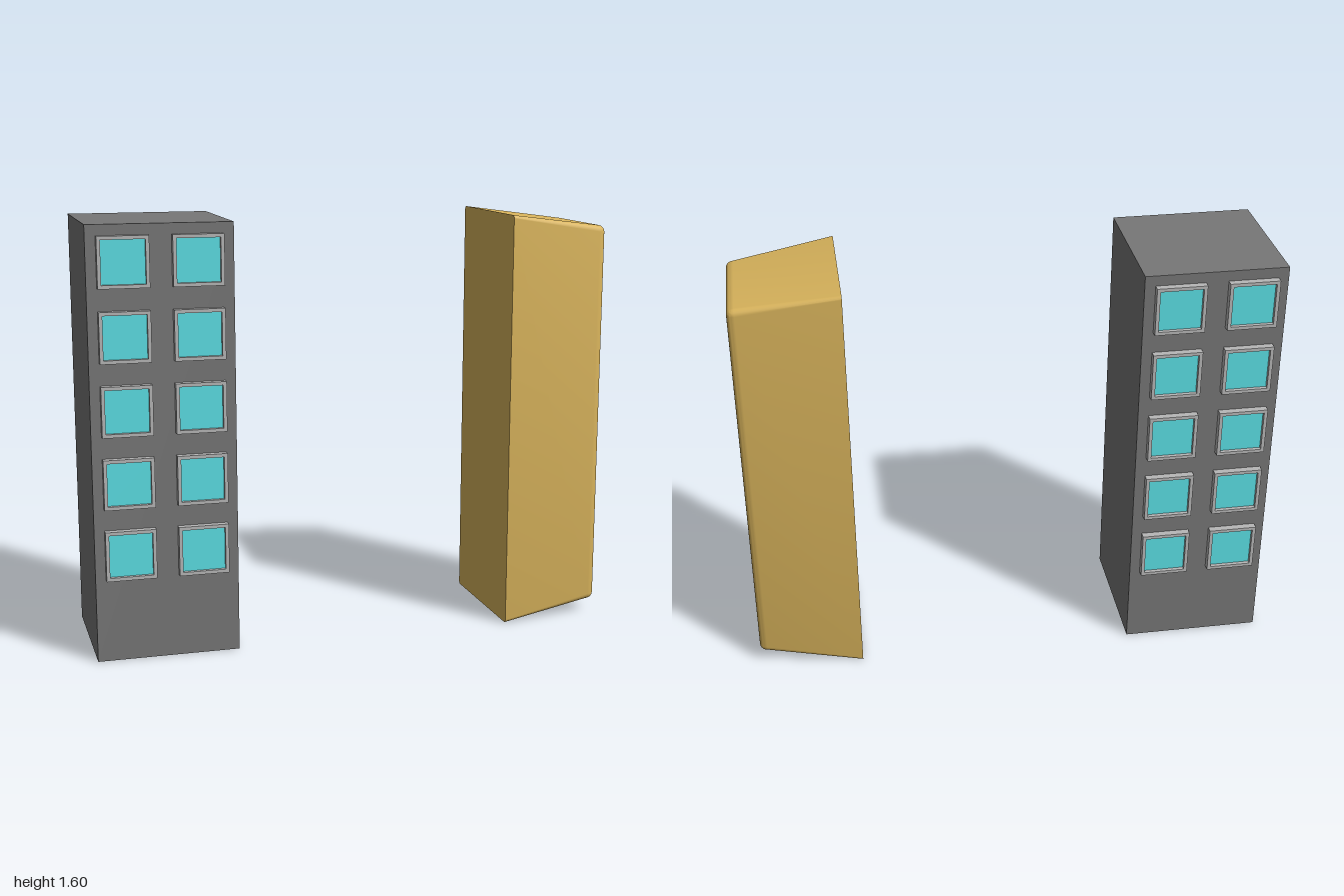
import * as THREE from 'three';
import { toCreasedNormals } from 'three/addons/utils/BufferGeometryUtils.js';

const mat = (color) => new THREE.MeshStandardMaterial({ color });

// Rounded-rectangle outline, counter-clockwise seen from +x, as [y, z] pairs.
function outline(halfY, halfZ, r, steps = 5) {
  const pts = [];
  for (let q = 0; q < 4; q++) {
    const sz = q === 0 || q === 3 ? -1 : 1;
    const sy = q < 2 ? 1 : -1;
    for (let i = 0; i <= steps; i++) {
      const a = (q + i / steps) * Math.PI / 2;
      pts.push([sy * (halfY - r) + r * Math.sin(a), sz * (halfZ - r) - r * Math.cos(a)]);
    }
  }
  return pts;
}

// Tapered block: sharp at its wide base, softened round its narrow end.
function taperedBlock() {
  const stations = [[0.6, 0.8, 0.266, 0.012], [0.972, 0.751, 0.219, 0.024]];
  const bend = 0.024;
  for (let i = 1; i <= 5; i++) {
    const a = (i / 5) * Math.PI / 2;
    const inset = bend * (1 - Math.cos(a));
    stations.push([0.972 + 0.028 * Math.sin(a), 0.751 - inset, 0.219 - inset, 0.024 - inset * 0.75]);
  }
  const rings = stations.map(([x, hy, hz, r]) =>
    outline(hy, hz, r).map(([y, z]) => [x, y + 0.8, z]));
  const pos = [];
  const tri = (a, b, c) => pos.push(...a, ...b, ...c);
  const n = rings[0].length;
  const last = rings[rings.length - 1];
  for (let j = 0; j < n; j++) {
    const k = (j + 1) % n;
    for (let i = 0; i < rings.length - 1; i++) {
      const a = rings[i], b = rings[i + 1];
      tri(a[j], a[k], b[k]);
      tri(a[j], b[k], b[j]);
    }
    tri([1, 0.8, 0], last[j], last[k]);
    tri([0.6, 0.8, 0], rings[0][k], rings[0][j]);
  }
  const geo = new THREE.BufferGeometry();
  geo.setAttribute('position', new THREE.Float32BufferAttribute(pos, 3));
  return toCreasedNormals(geo, 0.6);
}

// Square window frame with an open middle.
function frameGeometry(size, border, depth) {
  const h = size / 2, k = h - border;
  const shape = new THREE.Shape([[-h, -h], [h, -h], [h, h], [-h, h]].map(p => new THREE.Vector2(...p)));
  shape.holes.push(new THREE.Path([[-k, -k], [-k, k], [k, k], [k, -k]].map(p => new THREE.Vector2(...p))));
  return new THREE.ExtrudeGeometry(shape, { depth, bevelEnabled: false });
}

export function createModel() {
  const model = new THREE.Group();

  // Plain tower body
  const tower = new THREE.Mesh(new THREE.BoxGeometry(0.53, 1.6, 0.532), mat(0x777777));
  tower.name = 'towerBody';
  tower.position.set(-0.735, 0.8, 0);
  model.add(tower);

  // Two columns of five windows on the front and the back
  const frameGeo = frameGeometry(0.185, 0.013, 0.027);
  const glassGeo = new THREE.BoxGeometry(0.16, 0.16, 0.012);
  const frameMat = mat(0xb8b8b8);
  const glassMat = mat(0x5ce0e6);
  for (const side of [1, -1]) {
    const wall = new THREE.Group();
    wall.name = side > 0 ? 'frontWindows' : 'backWindows';
    for (const x of [-0.87, -0.602]) {
      for (let row = 0; row < 5; row++) {
        const win = new THREE.Group();
        win.name = 'window';
        const frame = new THREE.Mesh(frameGeo, frameMat);
        frame.name = 'windowFrame';
        const glass = new THREE.Mesh(glassGeo, glassMat);
        glass.name = 'windowGlass';
        glass.position.z = 0.006;
        win.add(frame, glass);
        win.position.set(x, 0.403 + row * 0.2663, side * 0.266);
        if (side < 0) win.rotation.y = Math.PI;
        wall.add(win);
      }
    }
    model.add(wall);
  }

  // Separate tapered block
  const block = new THREE.Mesh(taperedBlock(), mat(0xd9b45c));
  block.name = 'taperedBlock';
  model.add(block);

  return model;
}
